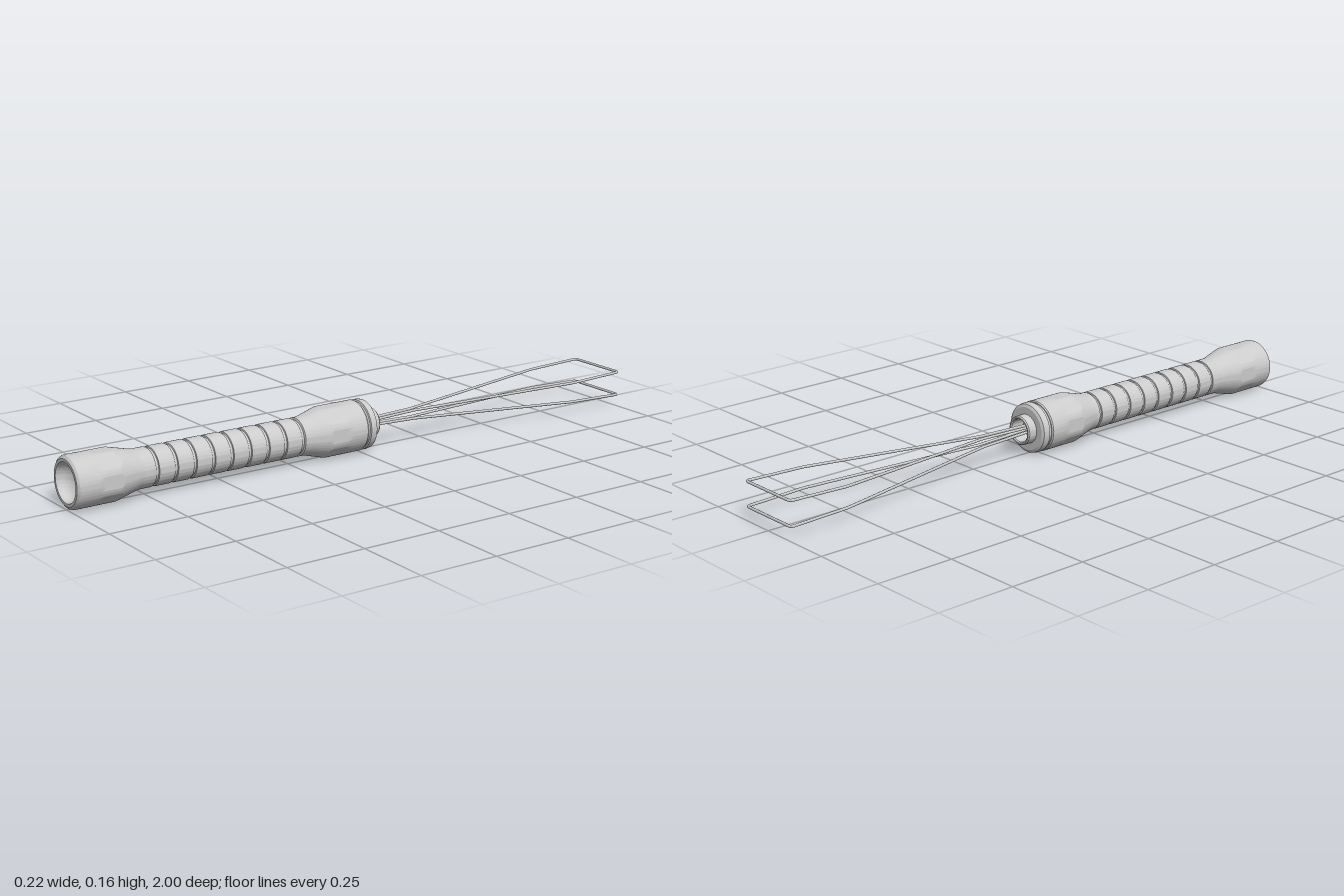
import * as THREE from 'three';
import { toCreasedNormals } from 'three/addons/utils/BufferGeometryUtils.js';

const AXIS_Y = 0.08;
const mat = new THREE.MeshStandardMaterial({ color: 0xcccccc, side: THREE.DoubleSide });

// Turned part along z from [radius, z] points running from back to front
function turned(name, points, shape) {
  const geo = new THREE.LatheGeometry(points.map(([r, z]) => new THREE.Vector2(r, z)), 96);
  if (shape) shape(geo.attributes.position);
  geo.rotateX(Math.PI / 2);
  const mesh = new THREE.Mesh(toCreasedNormals(geo, 0.2), mat);
  mesh.name = name;
  mesh.position.y = AXIS_Y;
  return mesh;
}

// Cut eight flats into a head between two stations along its axis
function cutFlats(from, to, apothem = 0.0768) {
  const step = Math.PI / 4;
  return (pos) => {
    for (let i = 0; i < pos.count; i++) {
      const x = pos.getX(i), y = pos.getY(i), z = pos.getZ(i);
      if (y < from || y > to) continue;
      const a = Math.atan2(x, z);
      const limit = apothem / Math.cos(a - Math.round(a / step) * step);
      const k = Math.min(1, limit / Math.max(Math.hypot(x, z), 1e-6));
      pos.setXYZ(i, x * k, y, z * k);
    }
  };
}

// Evenly spaced stations on a straight stretch of profile
function stretch(r0, z0, r1, z1, n) {
  return Array.from({ length: n + 1 }, (_, i) =>
    [r0 + (r1 - r0) * i / n, z0 + (z1 - z0) * i / n]);
}

// Straight path with small rounded corners
function roundedPath(pts, radius) {
  const path = new THREE.CurvePath();
  let last = pts[0];
  for (let i = 1; i < pts.length - 1; i++) {
    const p = pts[i];
    const a = p.clone().add(pts[i - 1].clone().sub(p).setLength(radius));
    const b = p.clone().add(pts[i + 1].clone().sub(p).setLength(radius));
    path.add(new THREE.LineCurve3(last, a));
    path.add(new THREE.QuadraticBezierCurve3(a, p, b));
    last = b;
  }
  path.add(new THREE.LineCurve3(last, pts[pts.length - 1]));
  return path;
}

export function createModel() {
  const group = new THREE.Group();
  group.name = 'whisk';

  // Ribbed grip: rounded bands separated by grooves
  const grip = [[0.06, 0.19], [0.06, 0.222]];
  const first = 0.228, pitch = 0.063, grooves = 9;
  for (let i = 0; i < grooves; i++) {
    const z = first + i * pitch;
    grip.push([0.058, z - 0.005], [0.054, z - 0.004], [0.054, z + 0.004], [0.058, z + 0.005]);
    if (i < grooves - 1) grip.push([0.06, z + 0.009], [0.06, z + pitch - 0.009]);
  }
  grip.push([0.06, 0.741], [0.06, 0.8]);
  group.add(turned('grip', grip));

  // Rear head with flats, flange and hollow wire socket
  group.add(turned('rearHead', [
    [0, -0.015], [0.036, -0.015], [0.036, -0.062], [0.039, -0.066],
    [0.043, -0.066], [0.046, -0.062], [0.046, -0.034],
    [0.068, -0.034], [0.077, -0.03], [0.079, -0.02], [0.079, -0.008],
    [0.074, -0.006], [0.074, 0.002], [0.077, 0.002], [0.08, 0.006],
    [0.08, 0.0595], ...stretch(0.08, 0.06, 0.08, 0.13, 4),
    ...stretch(0.08, 0.13, 0.062, 0.196, 24).slice(1), [0.06, 0.21],
  ], cutFlats(0.06, 0.22)));

  // Front head with flats, chamfered rim and concave end
  const dish = Array.from({ length: 17 }, (_, i) => {
    const a = (i / 16) * Math.PI / 2;
    return [0.058 * Math.cos(a), 0.992 - 0.04 * Math.sin(a)];
  });
  group.add(turned('frontHead', [
    [0.06, 0.775], ...stretch(0.062, 0.79, 0.08, 0.86, 24),
    ...stretch(0.08, 0.86, 0.08, 0.93, 4).slice(1), [0.08, 0.9305],
    [0.08, 0.988], [0.078, 0.994], [0.07, 1.0], [0.061, 1.0], ...dish,
  ], cutFlats(0.77, 0.93)));

  // Two diverging wire loops
  for (const side of [1, -1]) {
    const half = [[0.01, -0.01], [0.011, -0.22], [0.106, -0.8], [0.106, -0.9955]];
    const at = (x, z) => new THREE.Vector3(x, AXIS_Y + side * (0.008 - 0.0325 * (z + 0.06)), z);
    const pts = [
      ...half.map(([x, z]) => at(x, z)),
      ...half.slice().reverse().map(([x, z]) => at(-x, z)),
    ];
    const wire = new THREE.Mesh(
      new THREE.TubeGeometry(roundedPath(pts, 0.012), 400, 0.0045, 8), mat);
    wire.name = side > 0 ? 'upperWireLoop' : 'lowerWireLoop';
    group.add(wire);
  }
  return group;
}
